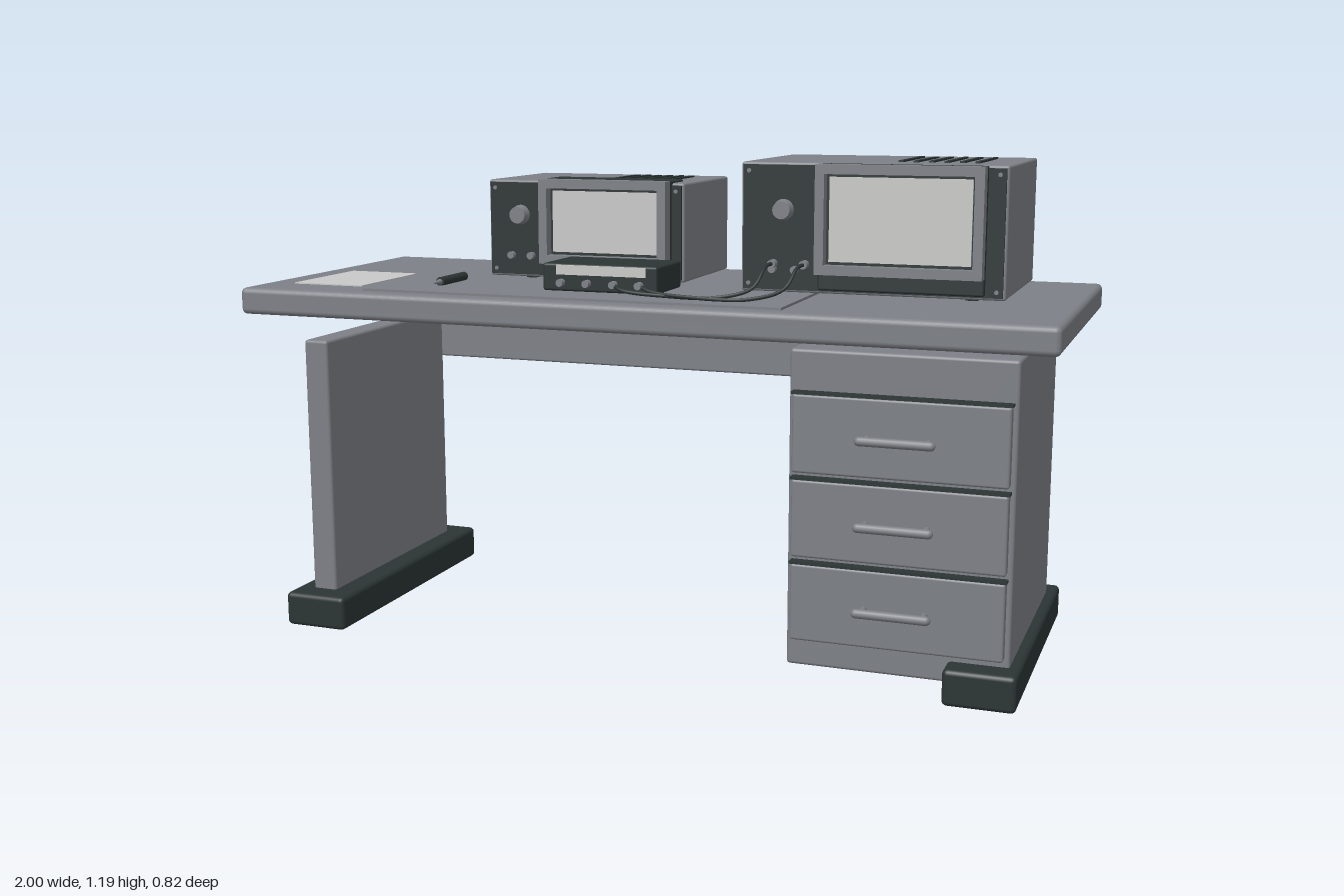
import * as THREE from 'three';
import { RoundedBoxGeometry } from 'three/addons/geometries/RoundedBoxGeometry.js';

const grey = new THREE.MeshStandardMaterial({ color: 0x7d8086 });
grey.name = 'grey';
const dark = new THREE.MeshStandardMaterial({ color: 0x2c3534 });
dark.name = 'charcoal';
const light = new THREE.MeshStandardMaterial({ color: 0xc9c9c8 });
light.name = 'pale grey';

function add(parent, name, geometry, material, x = 0, y = 0, z = 0) {
  const mesh = new THREE.Mesh(geometry, material);
  mesh.name = name;
  mesh.position.set(x, y, z);
  parent.add(mesh);
  return mesh;
}

// Box given by its limits on each axis, optionally with rounded edges
function box(parent, name, material, [x0, x1], [y0, y1], [z0, z1], r = 0) {
  const size = [x1 - x0, y1 - y0, z1 - z0];
  const geometry = r ? new RoundedBoxGeometry(...size, 3, r) : new THREE.BoxGeometry(...size);
  return add(parent, name, geometry, material, (x0 + x1) / 2, (y0 + y1) / 2, (z0 + z1) / 2);
}

// Cylinder along z
function rod(parent, name, material, r, x, y, z0, z1, rEnd = r) {
  const geometry = new THREE.CylinderGeometry(rEnd, r, z1 - z0, 20).rotateX(Math.PI / 2);
  return add(parent, name, geometry, material, x, y, (z0 + z1) / 2);
}

// Rectangular ring, extruded along z
function frame(parent, name, material, [x0, x1], [y0, y1], [z0, z1], border) {
  const rect = (T, b) => new T([
    new THREE.Vector2(x0 + b, y0 + b), new THREE.Vector2(x1 - b, y0 + b),
    new THREE.Vector2(x1 - b, y1 - b), new THREE.Vector2(x0 + b, y1 - b),
  ]);
  const shape = rect(THREE.Shape, 0);
  shape.holes.push(rect(THREE.Path, border));
  const geometry = new THREE.ExtrudeGeometry(shape, { depth: z1 - z0, bevelEnabled: false });
  return add(parent, name, geometry, material, 0, 0, z0);
}

function createDrawer(parent, y) {
  const g = new THREE.Group();
  g.name = 'drawer';
  box(g, 'drawerFront', grey, [0.4, 0.893], [y - 0.092, y + 0.09], [0.305, 0.335], 0.006);
  box(g, 'drawerGap', dark, [0.397, 0.896], [y + 0.09, y + 0.096], [0.305, 0.336]);
  for (const x of [0.575, 0.715]) rod(g, 'handlePost', grey, 0.007, x, y, 0.335, 0.372);
  const bar = new THREE.CapsuleGeometry(0.011, 0.16, 6, 14).rotateZ(Math.PI / 2);
  add(g, 'handleBar', bar, grey, 0.645, y, 0.372);
  parent.add(g);
}

// Bench instrument with a control panel, framed screen, vents and rear plate
function createInstrument(name, o) {
  const g = new THREE.Group();
  g.name = name;
  const [x0, x1] = o.x, [y0, y1] = o.y, [z0, z1] = o.z;
  box(g, 'case', grey, o.x, o.y, o.z, 0.006);
  box(g, 'frontPanel', dark, [x0 + 0.006, x1 - 0.006], [y0 + 0.006, y1 - 0.006], [z1 - 0.002, z1 + 0.006]);
  box(g, 'screenHousing', dark, o.screenX, [y0 + 0.01, o.top], [o.housingBack, o.ringZ[0]], 0.005);
  frame(g, 'screenFrame', grey, o.screenX, [o.screenBottom, o.top], o.ringZ, 0.022);
  const inset = (a, b, d) => [a + d, b - d];
  box(g, 'screenRim', dark, inset(...o.screenX, 0.02), inset(o.screenBottom, o.top, 0.02), [o.ringZ[0], o.ringZ[0] + 0.008]);
  box(g, 'screen', light, inset(...o.screenX, 0.029), inset(o.screenBottom, o.top, 0.029), [o.ringZ[0], o.ringZ[0] + 0.012]);
  // Controls
  rod(g, 'dial', grey, 0.026, o.dial[0], o.dial[1], z1, z1 + 0.03, 0.021);
  for (const dx of [-0.024, 0.03]) rod(g, 'smallKnob', grey, 0.009, o.dial[0] + dx, y0 + 0.055, z1, z1 + 0.022);
  for (const x of [x0 + 0.02, x1 - 0.02])
    for (const y of [y0 + 0.02, y1 - 0.02]) rod(g, 'screw', grey, 0.005, x, y, z1, z1 + 0.009);
  // Top vents
  for (let i = 0; i < 6; i++) {
    const x = THREE.MathUtils.lerp(o.ventX[0], o.ventX[1], i / 5);
    box(g, 'vent', dark, [x - 0.006, x + 0.006], [y1 - 0.002, y1 + 0.004], o.ventZ);
  }
  box(g, 'rearPlate', light, o.plateX, o.plateY, [z0 - 0.005, z0 + 0.002]);
  // Feet
  for (const x of [x0 + 0.08, x1 - 0.09])
    for (const z of [z0 + 0.08, z1 - 0.085])
      add(g, 'instrumentFoot', new THREE.CylinderGeometry(0.018, 0.016, 0.016, 16), dark, x, 0.88, z);
  return g;
}

export function createModel() {
  const model = new THREE.Group();
  model.name = 'workbench';

  // Desk
  box(model, 'desktop', grey, [-1, 1], [0.808, 0.874], [-0.41, 0.41], 0.014);
  box(model, 'sidePanel', grey, [-0.885, -0.82], [0.08, 0.735], [-0.31, 0.31], 0.008);
  box(model, 'backBeam', grey, [-0.875, 0.875], [0.605, 0.715], [-0.345, -0.303], 0.006);
  for (const x of [-0.847, 0.847])
    box(model, 'foot', dark, [x - 0.083, x + 0.083], [0, 0.086], [-0.372, 0.372], 0.012);

  // Drawer cabinet
  box(model, 'cabinet', grey, [0.387, 0.905], [0.035, 0.782], [-0.307, 0.31], 0.008);
  for (const y of [0.195, 0.394, 0.592]) createDrawer(model, y + 0.0);

  // Instruments
  model.add(createInstrument('largeInstrument', {
    x: [0.21, 0.838], y: [0.885, 1.19], z: [-0.31, 0.121],
    screenX: [0.403, 0.792], screenBottom: 0.935, top: 1.189, housingBack: 0.112, ringZ: [0.143, 0.178],
    dial: [0.315, 1.08], ventX: [0.57, 0.75], ventZ: [-0.22, 0.03],
    plateX: [0.355, 0.7], plateY: [0.95, 1.12],
  }));
  model.add(createInstrument('smallInstrument', {
    x: [-0.495, 0.034], y: [0.885, 1.13], z: [-0.312, 0.032],
    screenX: [-0.335, 0.003], screenBottom: 0.925, top: 1.136, housingBack: -0.05, ringZ: [0.05, 0.085],
    dial: [-0.405, 1.043], ventX: [-0.193, -0.042], ventZ: [-0.245, -0.045],
    plateX: [-0.38, -0.09], plateY: [0.935, 1.065],
  }));

  // Items lying on the desk
  box(model, 'deskMat', grey, [-0.68, 0.38], [0.872, 0.88], [0.03, 0.362]);
  box(model, 'paper', light, [-0.917, -0.725], [0.872, 0.877], [0.005, 0.29]);
  rod(model, 'penBarrel', dark, 0.011, -0.528, 0.89, 0.12, 0.25);
  rod(model, 'penTip', grey, 0.007, -0.528, 0.89, 0.25, 0.282, 0.002);

  // Small control box with front sockets
  const unit = new THREE.Group();
  unit.name = 'controlBox';
  box(unit, 'controlBoxCase', dark, [-0.245, 0.048], [0.882, 0.948], [0.095, 0.262], 0.006);
  box(unit, 'controlBoxLabel', light, [-0.208, 0.02], [0.922, 0.945], [0.26, 0.266]);
  const sockets = [-0.195, -0.128, -0.06, 0.005];
  for (const x of sockets) rod(unit, 'socket', grey, 0.009, x, 0.903, 0.26, 0.28);
  model.add(unit);

  // Cables from the sockets to the large instrument
  const cables = [
    [[-0.06, 0.903, 0.27], [-0.03, 0.893, 0.29], [0.08, 0.886, 0.298], [0.2, 0.886, 0.29], [0.275, 0.905, 0.25], [0.29, 0.95, 0.19], [0.292, 0.953, 0.125]],
    [[0.005, 0.903, 0.27], [0.04, 0.893, 0.288], [0.15, 0.886, 0.305], [0.28, 0.886, 0.295], [0.35, 0.905, 0.25], [0.367, 0.95, 0.19], [0.369, 0.953, 0.125]],
  ];
  for (const points of cables) {
    const curve = new THREE.CatmullRomCurve3(points.map((p) => new THREE.Vector3(...p)));
    add(model, 'cable', new THREE.TubeGeometry(curve, 48, 0.0045, 8), dark);
    const end = points[points.length - 1];
    rod(model, 'cablePlug', grey, 0.01, end[0], end[1], 0.122, 0.15);
  }
  return model;
}
